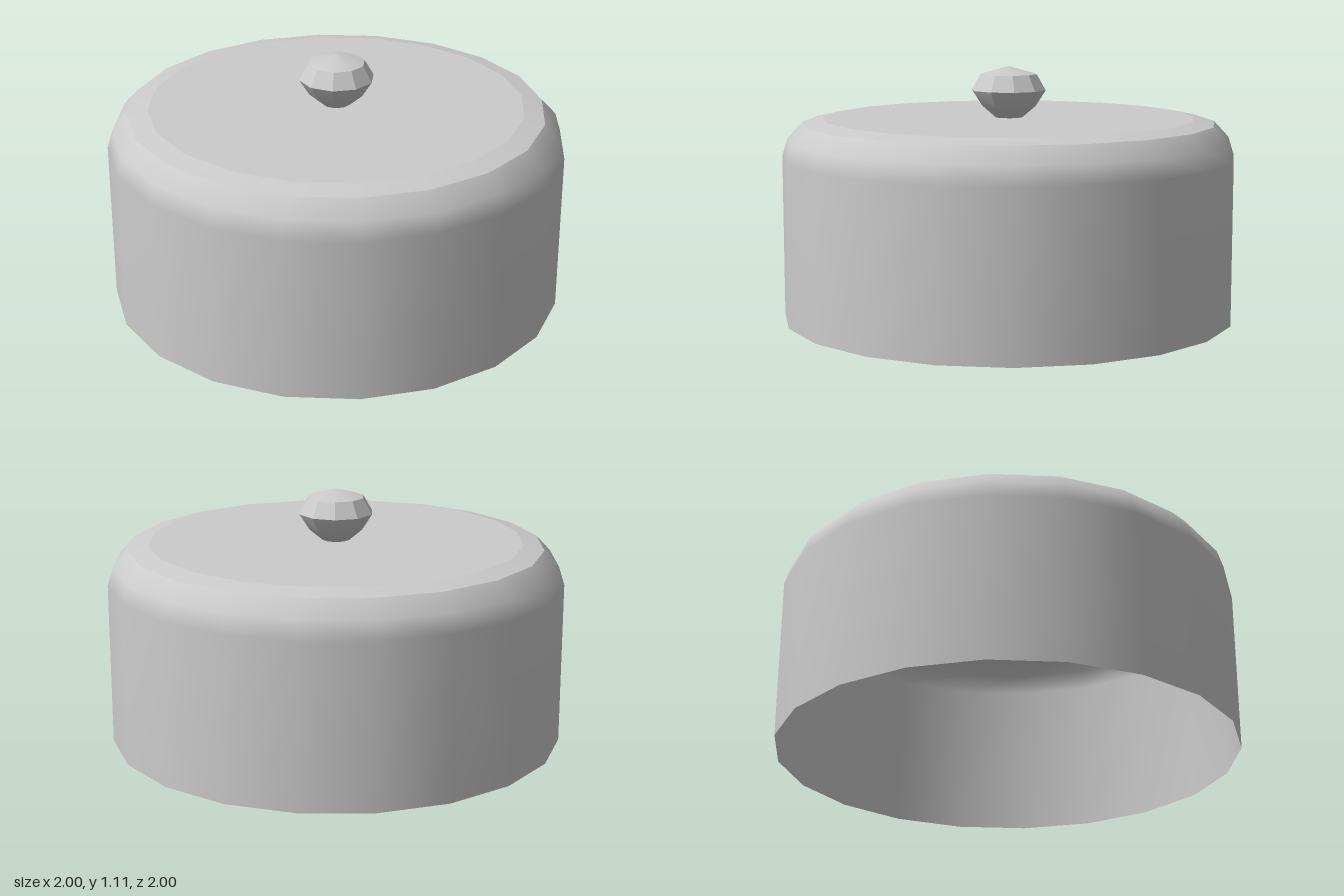
import * as THREE from 'three';
import { toCreasedNormals } from 'three/addons/utils/BufferGeometryUtils.js';

const SIDES = 20;
const KNOB_SIDES = 10;

// Revolve a short list of [radius, height] points
function revolve(profile, sides, start = 0) {
  return new THREE.LatheGeometry(profile.map(([r, y]) => new THREE.Vector2(r, y)), sides, start);
}

export function createModel() {
  const group = new THREE.Group();
  group.name = 'domedLid';

  const shellMaterial = new THREE.MeshStandardMaterial({ color: 0xcccccc, side: THREE.DoubleSide });
  const knobMaterial = new THREE.MeshStandardMaterial({ color: 0xcccccc });

  function add(name, geometry, material) {
    const mesh = new THREE.Mesh(geometry, material);
    mesh.name = name;
    group.add(mesh);
  }

  // Open-bottomed wall curving into the shoulder, smooth shaded
  add('wall', revolve([[1, 0], [1, 0.71], [0.975, 0.79], [0.91, 0.86]], SIDES), shellMaterial);

  // Shallow bevel and flat top, each kept crisp by its own normals
  add('rimBevel', revolve([[0.91, 0.86], [0.82, 0.88]], SIDES), shellMaterial);
  add('topPlate', revolve([[0.82, 0.88], [0, 0.88]], SIDES), shellMaterial);

  // Faceted knob, turned slightly about its axis, with a low domed cap
  const knob = revolve(
    [[0, 0.87], [0.055, 0.875], [0.12, 0.93], [0.165, 1.0], [0.125, 1.07], [0, 1.105]],
    KNOB_SIDES, THREE.MathUtils.degToRad(7));
  add('knob', toCreasedNormals(knob, THREE.MathUtils.degToRad(30)), knobMaterial);

  return group;
}
